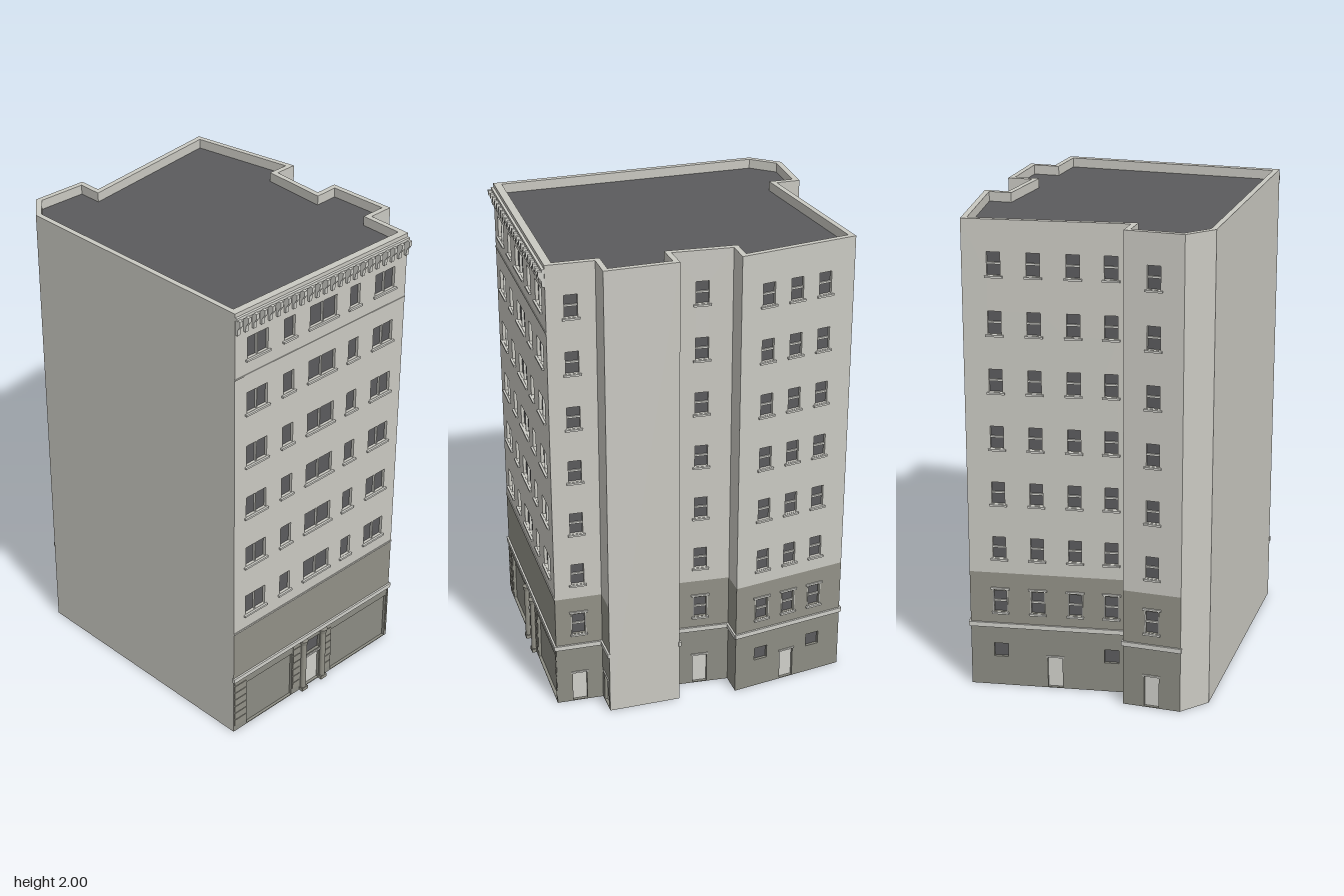
import * as THREE from 'three';
import { mergeGeometries } from 'three/addons/utils/BufferGeometryUtils.js';

const mat = (name, color, side = THREE.FrontSide) => {
  const m = new THREE.MeshStandardMaterial({ color, side });
  m.name = name;
  return m;
};

export function createModel() {
  const M = {
    wall: mat('pale plaster', 0xcac9c2),
    base: mat('olive stone', 0x929187),
    ground: mat('dark olive stone', 0x8c8c83),
    trim: mat('pale trim', 0xd0d0ca),
    dark: mat('dark glass and roofing', 0x5b5b5d, THREE.DoubleSide),
  };
  const model = new THREE.Group();
  model.name = 'building';
  const H = 2, BELT = 0.275, BASE = 0.51, ROOF = 1.96, PITCH = 0.24;

  // Footprint corners (x, z), counter-clockwise seen from above, starting front left
  const foot = [
    [-0.535, 0.61], [0.413, 0.61], [0.418, 0.412], [0.53, 0.41], [0.525, 0.105], [0.422, 0.11], [0.438, -0.137],
    [0.538, -0.14], [0.455, -0.635], [-0.207, -0.535], [-0.207, -0.635], [-0.45, -0.637], [-0.543, -0.525],
  ].map(([x, z]) => new THREE.Vector2(x, z));
  const n = foot.length;

  // Inset footprint for the inside of the parapet and walls
  const inset = foot.map((p, i) => {
    const a = foot[(i + n - 1) % n], b = foot[(i + 1) % n];
    const d1 = p.clone().sub(a).normalize(), d2 = b.clone().sub(p).normalize();
    const t1 = i === 1 ? 0.032 : 0.023, t2 = i === 0 ? 0.032 : 0.023;
    const q1 = new THREE.Vector2(d1.y, -d1.x).multiplyScalar(t1).add(p);
    const q2 = new THREE.Vector2(d2.y, -d2.x).multiplyScalar(t2).add(p);
    const s = ((q2.x - q1.x) * d2.y - (q2.y - q1.y) * d2.x) / (d1.x * d2.y - d1.y * d2.x);
    return q1.addScaledVector(d1, s);
  });

  // Group whose x runs along the wall from p to q and whose z points outward
  function wallGroup(name, p, q) {
    const g = new THREE.Group();
    g.name = name;
    g.position.set(p.x, 0, p.y);
    g.rotation.y = Math.atan2(-(q.y - p.y), q.x - p.x);
    model.add(g);
    return g;
  }
  function addMesh(parent, name, material, geos) {
    if (!geos.length) return;
    const flat = geos.map((g) => (g.index ? g.toNonIndexed() : g));
    const mesh = new THREE.Mesh(mergeGeometries(flat), material);
    mesh.name = name;
    parent.add(mesh);
  }
  const box = (x0, x1, y0, y1, z0, z1) =>
    new THREE.BoxGeometry(x1 - x0, y1 - y0, z1 - z0).translate((x0 + x1) / 2, (y0 + y1) / 2, (z0 + z1) / 2);
  const plate = (x0, x1, y0, y1, z) =>
    new THREE.PlaneGeometry(x1 - x0, y1 - y0).translate((x0 + x1) / 2, (y0 + y1) / 2, z);
  const rect = (C, x0, x1, y0, y1) =>
    new C([[x0, y0], [x1, y0], [x1, y1], [x0, y1]].map(([x, y]) => new THREE.Vector2(x, y)));

  // One facade: colour zones pierced by openings, with recessed panes, sills and belt course
  function facade(name, i, openings, plain = false) {
    const p = foot[i], q = foot[(i + 1) % n], L = p.distanceTo(q);
    const g = wallGroup(name, p, q);
    const zones = plain ? [['wall', 0, H]] : [['ground', 0, BELT], ['base', BELT, BASE], ['wall', BASE, H]];
    const D = 0.014, glass = [], trim = [], doors = [];
    for (const [key, y0, y1] of zones) {
      const shape = rect(THREE.Shape, 0, L, y0, y1), reveals = [], panels = [];
      for (const o of openings.filter((o) => o.y0 >= y0 && o.y0 < y1)) {
        shape.holes.push(rect(THREE.Path, o.x0, o.x1, o.y0, o.y1));
        const ring = rect(THREE.Shape, o.x0 - 0.003, o.x1 + 0.003, Math.max(0.001, o.y0 - 0.003), o.y1 + 0.003);
        ring.holes.push(rect(THREE.Path, o.x0, o.x1, o.y0, o.y1));
        reveals.push(new THREE.ExtrudeGeometry(ring, { depth: D, bevelEnabled: false }).translate(0, 0, -D - 0.0005));
        const pane = plate(o.x0, o.x1, o.y0, o.y1, -D + 0.001);
        ({ glass, door: doors, panel: panels })[o.kind].push(pane);
        if (o.kind === 'door') {
          trim.push(box(o.x0 - 0.006, o.x1 + 0.006, o.y1, o.y1 + 0.007, -0.005, 0.005));
        }
        if (o.sill) trim.push(box(o.x0 - 0.009, o.x1 + 0.009, o.y0 - 0.009, o.y0 - 0.001, -0.005, 0.009));
        if (o.lintel) {
          trim.push(box(o.x0 - 0.012, o.x1 + 0.012, o.y1 + 0.006, o.y1 + 0.014, -0.005, 0.007));
          for (const x of [o.x0 - 0.004, o.x1]) trim.push(box(x, x + 0.004, o.y0, o.y1 + 0.006, -0.005, 0.003));
        }
        if (o.sash) trim.push(box(o.x0, o.x1, o.y0 + 0.044, o.y0 + 0.052, -D, -0.006));
        if (o.mullion) {
          const c = (o.x0 + o.x1) / 2;
          trim.push(box(c - 0.0025, c + 0.0025, o.y0, o.y1, -D, -0.003));
        }
      }
      addMesh(g, key + 'Wall', M[key], [new THREE.ShapeGeometry(shape), ...reveals, ...panels]);
    }
    if (!plain) trim.push(box(-0.004, L + 0.004, 0.265, 0.285, -0.004, 0.008));
    addMesh(g, 'windowPanes', M.dark, glass);
    addMesh(g, 'doors', M.trim, doors);
    addMesh(g, 'trim', M.trim, trim);
    return g;
  }

  // Column of sash windows above a door or small window
  const opening = (kind, x, w, y0, y1, extra = {}) => ({ kind, x0: x - w / 2, x1: x + w / 2, y0, y1, ...extra });
  const door = (x) => opening('door', x, 0.062, 0.003, 0.14);
  const vent = (x) => opening('glass', x, 0.06, 0.13, 0.19);
  const sashColumn = (x) => Array.from({ length: 7 }, (_, k) =>
    opening('glass', x, 0.054, 0.335 + k * PITCH, 0.43 + k * PITCH, { sash: true, sill: true, lintel: k === 0 }));
  const len = (i) => foot[i].distanceTo(foot[(i + 1) % n]);
  const at = (i, ...ts) => ts.map((t) => t * len(i));

  // Front openings, in model x shifted to the wall's own start
  const X0 = -foot[0].x;
  const frontOpenings = [
    opening('panel', X0 - 0.325, 0.27, 0.003, 0.225),
    opening('panel', X0 + 0.225, 0.35, 0.003, 0.225),
    opening('door', X0 - 0.065, 0.085, 0.003, 0.158),
    opening('glass', X0 - 0.065, 0.085, 0.17, 0.24),
  ];
  for (let k = 0; k < 6; k++) {
    const y = 0.585 + k * PITCH;
    for (const [x, w, mullion] of [[-0.415, 0.11, 1], [-0.245, 0.058, 0], [-0.06, 0.148, 1], [0.118, 0.055, 0], [0.29, 0.112, 1]])
      frontOpenings.push(opening('glass', X0 + x, w, y, y + 0.092, { mullion, sill: true }));
  }
  const front = facade('frontFacade', 0, frontOpenings);

  facade('frontLeftReturn', 1, [...sashColumn(len(1) / 2), door(len(1) / 2)]);
  facade('towerFront', 2, [door(len(2) * 0.52)]);
  facade('towerSide', 3, [], true);
  facade('towerBack', 4, []);
  facade('notchWall', 5, [...sashColumn(len(5) / 2), door(len(5) / 2)]);
  facade('wingFront', 6, []);
  const wing = at(7, 0.24, 0.49, 0.74);
  facade('wingSide', 7, [...wing.flatMap(sashColumn), vent(wing[0]), door(wing[1]), vent(wing[2])]);
  const back = at(8, 0.19, 0.425, 0.66, 0.885);
  facade('backFacade', 8, [...back.flatMap(sashColumn), vent(back[0]), door(len(8) * 0.53), vent(back[3])]);
  facade('backReturn', 9, []);
  facade('backCornerFacade', 10, [...sashColumn(len(10) / 2), door(len(10) / 2)]);
  facade('chamferWall', 11, [], true);
  facade('partyWall', 12, [], true);

  // Inner faces of the walls
  inset.forEach((p, i) => {
    const q = inset[(i + 1) % n], L = p.distanceTo(q);
    addMesh(wallGroup('innerWall', p, q), 'innerFace', M.wall,
      [new THREE.PlaneGeometry(L, H).rotateY(Math.PI).translate(L / 2, H / 2, 0)]);
  });

  // Parapet coping, foot of the walls and roof deck
  const flip = (v) => new THREE.Vector2(v.x, -v.y);
  const coping = new THREE.Shape(foot.map(flip));
  coping.holes.push(new THREE.Path(inset.map(flip)));
  const footing = new THREE.Shape(foot);
  footing.holes.push(new THREE.Path(inset));
  addMesh(model, 'parapetCoping', M.wall, [new THREE.ShapeGeometry(coping).rotateX(-Math.PI / 2).translate(0, H, 0)]);
  addMesh(model, 'wallFoot', M.wall, [new THREE.ShapeGeometry(footing).rotateX(Math.PI / 2)]);
  addMesh(model, 'roofDeck', M.dark,
    [new THREE.ShapeGeometry(new THREE.Shape(inset.map(flip))).rotateX(-Math.PI / 2).translate(0, ROOF, 0)]);

  // Bracketed cornice along the front
  const W = len(0), cornice = [box(0, W, 1.972, 1.984, -0.003, 0.011)];
  const bracket = new THREE.Shape([[0, 1.975], [0.025, 1.975], [0.025, 1.955], [0.012, 1.935], [0.01, 1.91], [0, 1.91]]
    .map(([z, y]) => new THREE.Vector2(z, y)));
  for (let k = 0; k < 23; k++) {
    const x = 0.01 + (k * (W - 0.02)) / 22;
    cornice.push(new THREE.ExtrudeGeometry(bracket, { depth: 0.015, bevelEnabled: false })
      .rotateY(-Math.PI / 2).translate(x + 0.0075, 0, 0));
  }
  addMesh(front, 'cornice', M.trim, cornice);

  // Thin string courses on the front
  addMesh(front, 'stringCourses', M.wall, [box(0, W, 0.512, 0.519, -0.002, 0.004), box(0, W, 1.715, 1.72, -0.002, 0.003)]);

  // Entrance columns and stone courses on the piers
  const stone = [];
  for (const x of [X0 - 0.125, X0 - 0.008]) {
    stone.push(new THREE.CylinderGeometry(0.013, 0.013, 0.25, 12).translate(x, 0.125, 0.006));
    stone.push(new THREE.CylinderGeometry(0.019, 0.014, 0.022, 12).translate(x, 0.254, 0.006));
    stone.push(box(x - 0.017, x + 0.017, 0, 0.016, 0, 0.02));
  }
  for (let y = 0.03; y < 0.25; y += 0.036)
    for (const [a, b] of [[-0.53, -0.465], [-0.185, -0.145], [0.012, 0.045], [0.402, 0.41]])
      stone.push(box(X0 + a, X0 + b, y, y + 0.03, -0.002, 0.003));
  addMesh(front, 'entranceStonework', M.base, stone);

  return model;
}
